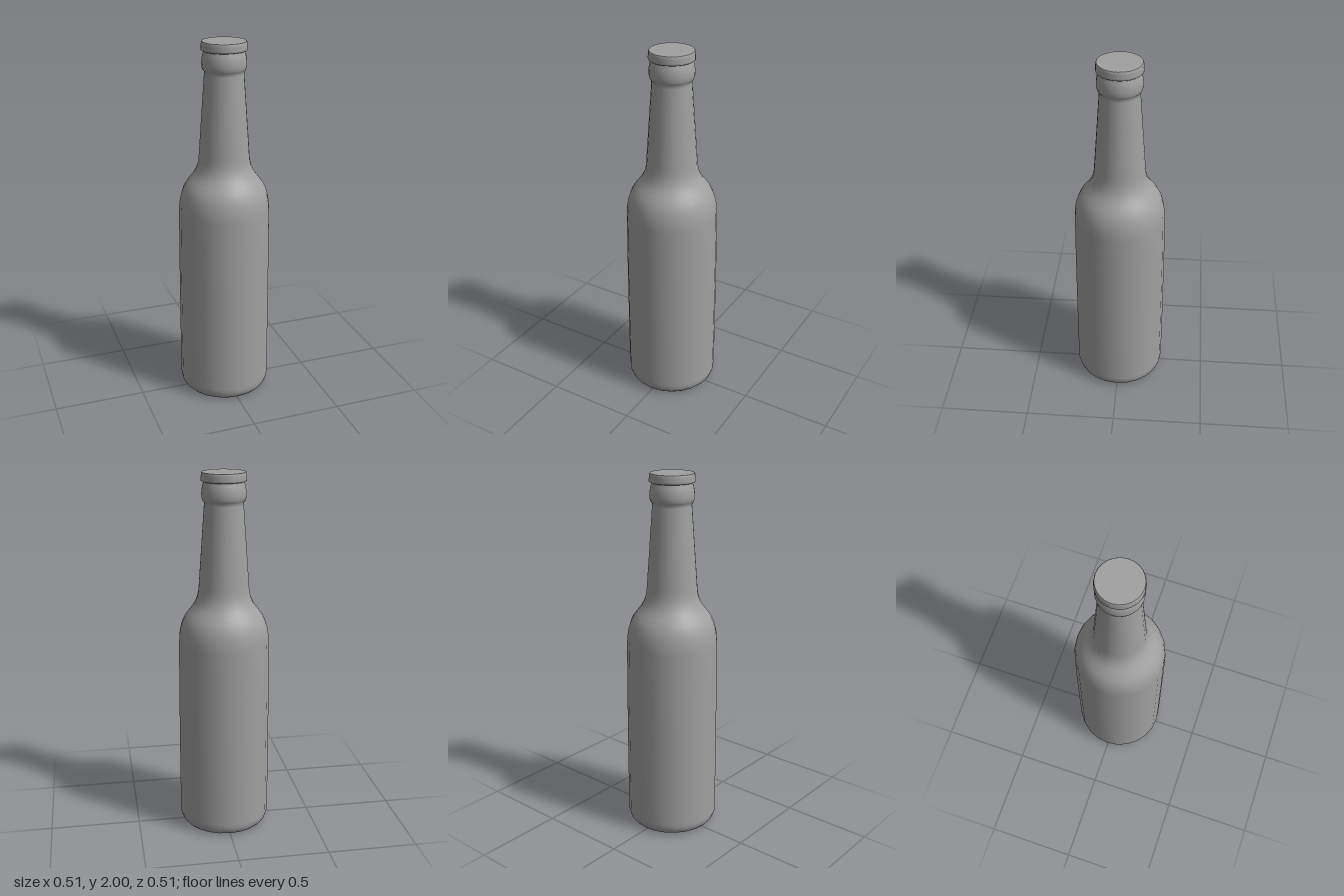
import * as THREE from 'three';

const SIDES = 24;
const material = new THREE.MeshStandardMaterial({ color: 0xa0a0a0 });

// Smooth surface of revolution from [radius, height] pairs, bottom to top
function turned(name, profile) {
  const points = profile.map(([r, y]) => new THREE.Vector2(r, y));
  const mesh = new THREE.Mesh(new THREE.LatheGeometry(points, SIDES), material);
  mesh.name = name;
  return mesh;
}

export function createModel() {
  const group = new THREE.Group();
  group.name = 'bottle';

  // Base, straight body, curved shoulder, tapered neck and bulging collar
  group.add(turned('glassBody', [
    [0, 0], [0.205, 0], [0.23, 0.008], [0.243, 0.022], [0.251, 0.045], [0.253, 0.07],
    [0.253, 0.34], [0.251, 0.8], [0.248, 1.08],
    [0.245, 1.125], [0.238, 1.165], [0.227, 1.2], [0.212, 1.23], [0.19, 1.26],
    [0.17, 1.285], [0.156, 1.31], [0.146, 1.335], [0.139, 1.365], [0.136, 1.4],
    [0.105, 1.83], [0.105, 1.845],
    [0.112, 1.852], [0.117, 1.866], [0.119, 1.885], [0.117, 1.91], [0.112, 1.935], [0.105, 1.95],
    [0.103, 1.97],
  ]));

  // Flat lid with a slightly flared skirt and a small bevel on the top edge
  group.add(turned('capSkirt', [
    [0.1, 1.953], [0.117, 1.953], [0.121, 1.956], [0.121, 1.965],
    [0.12, 1.985], [0.119, 1.995], [0.116, 2],
  ]));
  const top = new THREE.Mesh(new THREE.CircleGeometry(0.116, SIDES), material);
  top.name = 'capTop';
  top.rotation.x = -Math.PI / 2;
  top.position.y = 2;
  group.add(top);

  return group;
}
